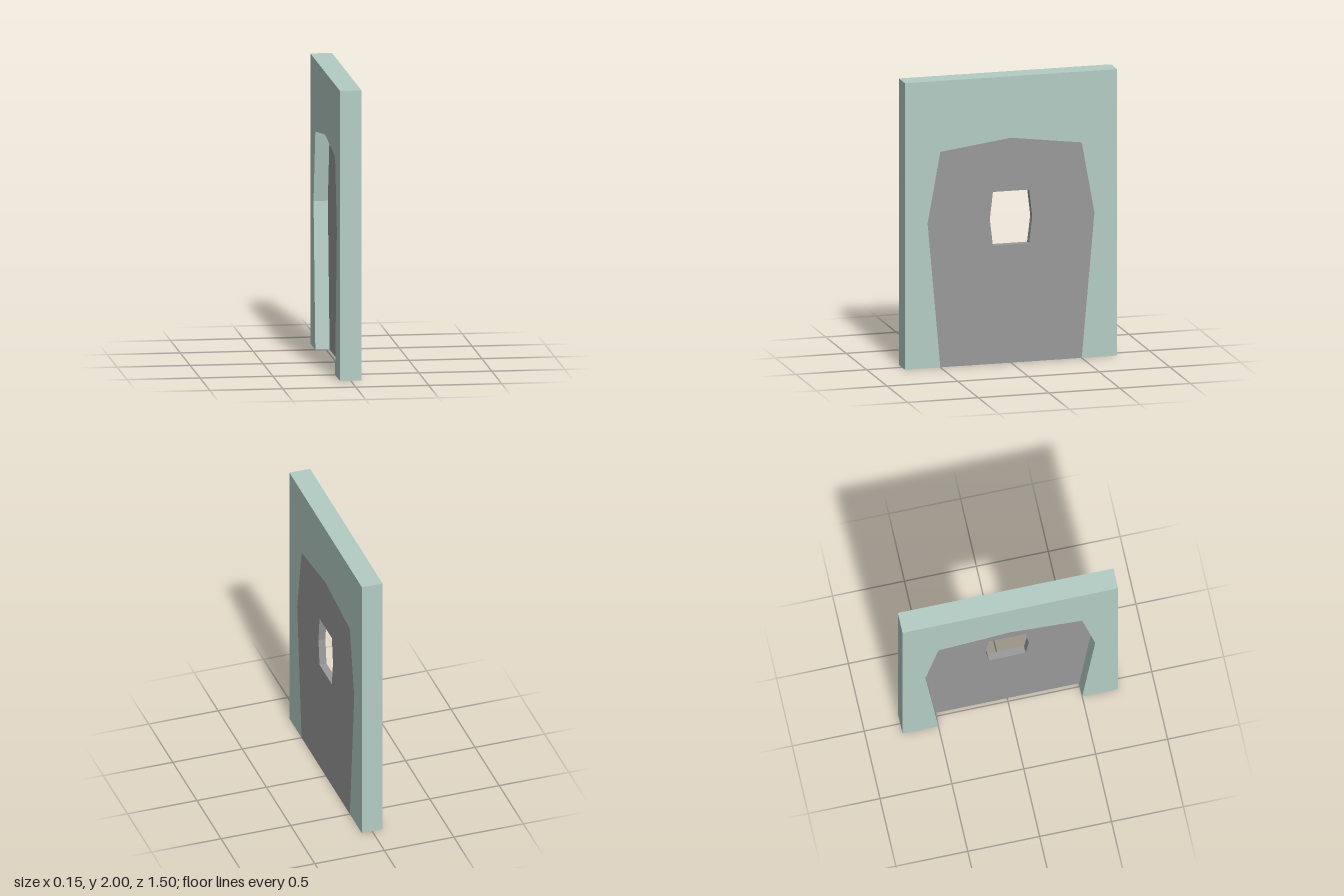
import * as THREE from 'three';

const WALL_T = 0.148; // wall thickness
const DOOR_T = 0.05;  // door thickness

// Half outline given bottom to top on the +side, mirrored to the other side.
function mirrored(half) {
  const other = half.filter(([u]) => u > 0).map(([u, y]) => [-u, y]).reverse();
  return [...half, ...other].map(([u, y]) => new THREE.Vector2(u, y));
}

const doorway = mirrored([[0.5, 0], [0.59, 1.01], [0.5, 1.505], [0, 1.57]]);
const windowHole = mirrored([[0.128, 0.825], [0.15, 1.01], [0.128, 1.2]]);

// Extrude a side-on shape along x, from x0 over the given thickness.
function slab(name, shape, x0, thickness, color) {
  const geometry = new THREE.ExtrudeGeometry(shape, { depth: thickness, bevelEnabled: false });
  geometry.rotateY(Math.PI / 2);
  geometry.translate(x0, 0, 0);
  const mesh = new THREE.Mesh(geometry, new THREE.MeshStandardMaterial({ color, flatShading: true }));
  mesh.name = name;
  return mesh;
}

export function createModel() {
  const model = new THREE.Group();
  model.name = 'doorWall';

  // Wall with the doorway open at the floor
  const wallShape = new THREE.Shape([
    ...mirrored([[0.75, 0], [0.75, 2]]),
    ...doorway.slice().reverse(),
  ]);
  model.add(slab('wall', wallShape, -WALL_T / 2, WALL_T, 0xb3ccc3));

  // Door panel, flush with the +x face and recessed on the other
  const doorShape = new THREE.Shape(doorway);
  doorShape.holes.push(new THREE.Path(windowHole));
  model.add(slab('door', doorShape, WALL_T / 2 - DOOR_T, DOOR_T, 0x999999));

  return model;
}
